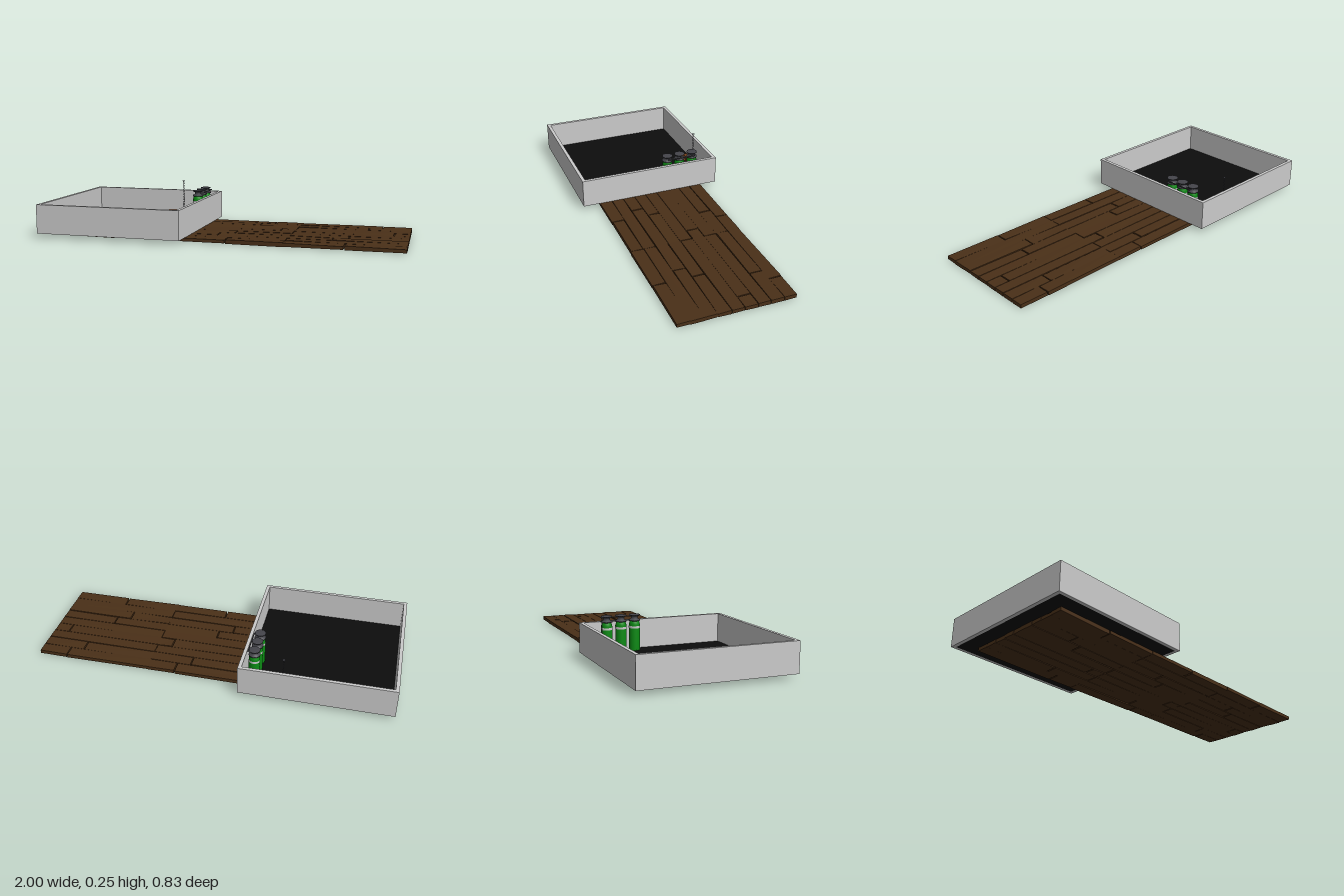
import * as THREE from 'three';

const mat = (color, extra = {}) => new THREE.MeshStandardMaterial({ color, ...extra });

export function createModel() {
  const model = new THREE.Group();
  const grey = mat(0xcccccc);
  const black = mat(0x0d0d0d);
  const wood = mat(0x4a3018, { flatShading: true });
  const brown = mat(0x7a431c);
  const green = mat(0x0c8a14);
  const dark = mat(0x45454b);

  let seed = 7;
  const jitter = (a) => {
    seed = (seed * 16807) % 2147483647;
    return (seed / 2147483647 - 0.5) * 2 * a;
  };
  const add = (parent, name, geometry, material, x = 0, y = 0, z = 0) => {
    const mesh = new THREE.Mesh(geometry, material);
    mesh.name = name;
    mesh.position.set(x, y, z);
    parent.add(mesh);
    return mesh;
  };

  // Walled tray: square ring extruded upwards
  const square = (Type, h) => new Type([[-h, -h], [h, -h], [h, h], [-h, h]].map((p) => new THREE.Vector2(...p)));
  const ring = square(THREE.Shape, 0.415);
  ring.holes.push(square(THREE.Path, 0.396));
  const wallGeo = new THREE.ExtrudeGeometry(ring, { depth: 0.162, bevelEnabled: false });
  wallGeo.rotateX(-Math.PI / 2);
  add(model, 'trayWalls', wallGeo, grey, -0.585, 0.027, 0);
  add(model, 'trayFloor', new THREE.BoxGeometry(0.794, 0.004, 0.794), black, -0.585, 0.0295, 0);

  // Plank deck: three repeats of nine rows, most rows split by one joint
  const deck = new THREE.Group();
  deck.name = 'plankDeck';
  model.add(deck);
  const joints = [0.475, 0.4, null, 0.55, null, 0.32, 0.24, null, 0.32];
  const tile = 0.632, row = 0.0702;

  const addPlank = (x0, x1, z0, z1) => {
    const geo = new THREE.BoxGeometry(x1 - x0, 0.02, z1 - z0);
    const p = geo.attributes.position;
    // Same offset for all vertices that share a corner
    const offsets = Array.from({ length: 8 }, () => [jitter(0.0025), jitter(0.002)]);
    for (let i = 0; i < p.count; i++) {
      const k = (p.getX(i) > 0 ? 1 : 0) + (p.getY(i) > 0 ? 2 : 0) + (p.getZ(i) > 0 ? 4 : 0);
      p.setY(i, p.getY(i) + offsets[k][1]);
      p.setZ(i, p.getZ(i) + offsets[k & 5][0]);
    }
    geo.computeVertexNormals();
    add(deck, 'plank', geo, wood, (x0 + x1) / 2, 0.0155, (z0 + z1) / 2);
  };

  for (let t = 0; t < 3; t++) {
    const start = -0.9 + t * tile;
    joints.forEach((joint, r) => {
      const z0 = -0.316 + r * row + 0.001, z1 = z0 + row - 0.002;
      const end = start + tile + (t === 2 ? 0.004 : 0);
      if (joint === null) addPlank(start + 0.002, end - (t === 2 ? 0 : 0.001), z0, z1);
      else {
        addPlank(start, start + joint - 0.003, z0, z1);
        addPlank(start + joint + 0.003, end, z0, z1);
      }
    });
  }

  // Three gas canisters with flared dark caps
  const lathe = (pts, n = 24) => new THREE.LatheGeometry(pts.map((p) => new THREE.Vector2(...p)), n);
  const bodyGeo = lathe([[0, 0], [0.028, 0], [0.03, 0.006], [0.03, 0.14], [0.026, 0.155], [0.02, 0.163], [0, 0.163]]);
  const bandGeo = new THREE.CylinderGeometry(0.0305, 0.0305, 0.012, 24, 1, true);
  const capGeo = lathe([[0, 0], [0.031, 0], [0.031, 0.006], [0.021, 0.009], [0.017, 0.017],
    [0.019, 0.023], [0.03, 0.029], [0.03, 0.033], [0, 0.033]]);
  const canZ = [-0.284, -0.204, -0.127];
  for (const z of canZ) {
    const can = new THREE.Group();
    can.name = 'canister';
    can.position.set(-0.235, 0.0315, z);
    add(can, 'canisterBody', bodyGeo, green);
    add(can, 'canisterBand', bandGeo, grey, 0, 0.128, 0);
    add(can, 'canisterCap', capGeo, dark, 0, 0.161, 0);
    model.add(can);
  }

  // Pipes linking the canisters
  const rail = new THREE.CylinderGeometry(0.003, 0.003, 0.17, 8);
  rail.rotateX(Math.PI / 2);
  add(model, 'upperPipe', rail, dark, -0.2, 0.212, -0.205);
  add(model, 'lowerPipe', rail, dark, -0.235, 0.197, -0.205);
  for (const z of canZ) {
    const stub = add(model, 'pipeStub', new THREE.CylinderGeometry(0.003, 0.003, 0.03, 8), dark, -0.215, 0.212, z);
    stub.rotation.z = Math.PI / 2;
  }

  // Low wooden workpiece on the floor
  const workpiece = new THREE.Group();
  workpiece.name = 'woodenWorkpiece';
  workpiece.position.set(0, 0.0315, -0.372);
  model.add(workpiece);
  add(workpiece, 'wideBlock', new THREE.BoxGeometry(0.1, 0.03, 0.042), brown, -0.468, 0.015, 0);
  add(workpiece, 'grip', new THREE.BoxGeometry(0.025, 0.025, 0.035), brown, -0.495, 0.0125, 0.032);
  add(workpiece, 'beam', new THREE.BoxGeometry(0.12, 0.016, 0.016), brown, -0.365, 0.015, -0.005);
  for (const x of [-0.4, -0.375, -0.35]) {
    add(workpiece, 'peg', new THREE.CylinderGeometry(0.012, 0.012, 0.026, 10), brown, x, 0.013, -0.005);
  }
  add(workpiece, 'endBlock', new THREE.BoxGeometry(0.055, 0.028, 0.035), brown, -0.293, 0.014, 0.008);

  // Upright chain with a small plate at its top
  const chain = new THREE.Group();
  chain.name = 'chain';
  chain.position.set(-0.405, 0, -0.367);
  model.add(chain);
  const linkGeo = new THREE.TorusGeometry(0.004, 0.0012, 6, 10);
  linkGeo.scale(0.75, 1.25, 1);
  for (let i = 0; i < 24; i++) {
    const link = add(chain, 'chainLink', linkGeo, dark, 0, 0.064 + i * 0.0078, 0);
    link.rotation.y = (i % 2) * Math.PI / 2;
  }
  add(chain, 'chainPlate', new THREE.CylinderGeometry(0.009, 0.003, 0.004, 12), dark, 0, 0.249, 0);

  return model;
}
